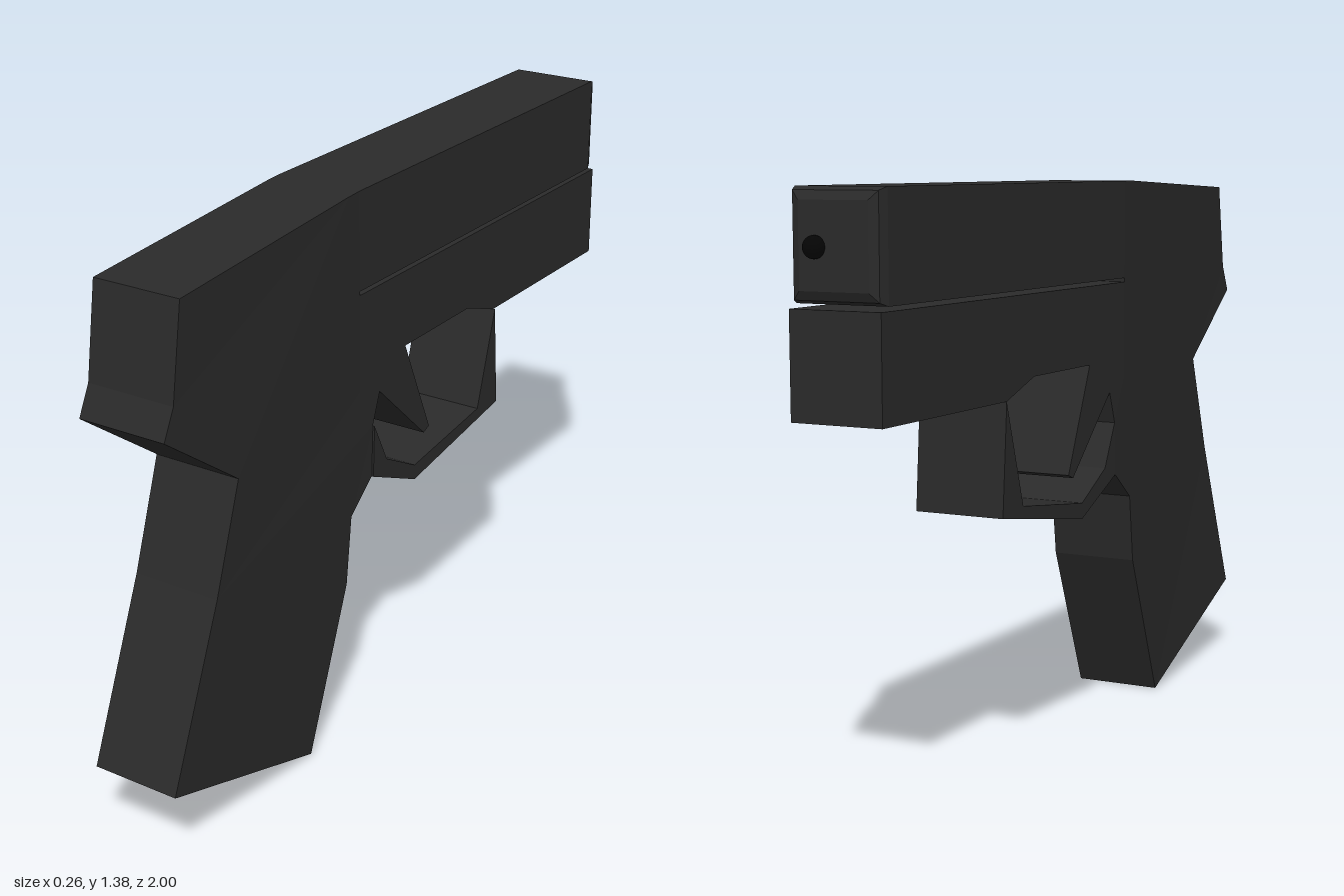
import * as THREE from 'three';

const RIGHT = -0.137, LEFT = 0.09;

// The rear of the body bends gently sideways towards +x.
function bend(geometry) {
  const p = geometry.attributes.position;
  for (let i = 0; i < p.count; i++) {
    const t = THREE.MathUtils.clamp((p.getZ(i) - 0.2) / 0.53, 0, 1);
    p.setX(i, p.getX(i) + 0.038 * t);
  }
  geometry.computeVertexNormals();
  return geometry;
}

// Side outline of [z, y] points, extruded across the width.
function slab(points, left = LEFT) {
  const shape = new THREE.Shape(points.map(([z, y]) => new THREE.Vector2(z, y)));
  const geometry = new THREE.ExtrudeGeometry(shape, { depth: left - RIGHT, bevelEnabled: false });
  geometry.rotateY(-Math.PI / 2).translate(left, 0, 0);
  return bend(geometry);
}

// Slide: a long box whose muzzle end is rounded off in small steps.
function slideGeometry() {
  const y0 = 1.135, y1 = 1.38;
  const rings = [[0.2, 0], [-0.935, 0], [-0.957, 0.008], [-0.967, 0.028]];
  const geometry = new THREE.BoxGeometry(1, 1, 3, 1, 1, 3);
  const p = geometry.attributes.position;
  for (let i = 0; i < p.count; i++) {
    const [z, inset] = rings[Math.round(1.5 - p.getZ(i))];
    p.setXYZ(i,
      p.getX(i) > 0 ? LEFT - inset : RIGHT + inset,
      p.getY(i) > 0 ? y1 - inset : y0 + inset,
      z);
  }
  geometry.computeVertexNormals();
  return geometry;
}

export function createModel() {
  const model = new THREE.Group();
  model.name = 'pistol';
  const dark = new THREE.MeshStandardMaterial({ color: 0x2a2a2a, flatShading: true });
  const black = new THREE.MeshStandardMaterial({ color: 0x050505 });

  const add = (name, geometry, material = dark) => {
    const mesh = new THREE.Mesh(geometry, material);
    mesh.name = name;
    model.add(mesh);
    return mesh;
  };

  // Upper body
  add('slide', slideGeometry());
  add('rearBody', slab([
    [0.2, 0.88], [0.2, 1.38], [0.25, 1.38], [0.91, 1.355],
    [0.945, 1.13], [0.98, 1.06], [0.735, 0.88],
  ]));

  // Lower body
  add('frame', slab([
    [0.2, 1.125], [0.2, 0.88], [0.115, 0.85], [0, 0.93],
    [-0.295, 0.93], [-0.43, 0.885], [-0.965, 0.885], [-0.965, 1.125],
  ]));
  add('grip', slab([
    [0.735, 0.88], [0.825, 0.62], [1, 0.2], [0.45, 0], [0.27, 0.39], [0.245, 0.565],
    [0.15, 0.635], [0.145, 0.77], [0.115, 0.85], [0.2, 0.88],
  ]));

  // Trigger and its guard
  add('trigger', slab([[0, 0.93], [0.115, 0.85], [-0.09, 0.66], [-0.115, 0.67]]));
  add('triggerGuard', slab([
    [0.15, 0.635], [-0.04, 0.55], [-0.45, 0.615], [-0.43, 0.885],
    [-0.35, 0.63], [-0.04, 0.59], [0.09, 0.66], [0.145, 0.77],
  ], 0.095));

  // Dark bead in the muzzle
  add('muzzle', new THREE.SphereGeometry(0.025, 16, 12), black).position.set(0.02, 1.255, -0.972);

  return model;
}
